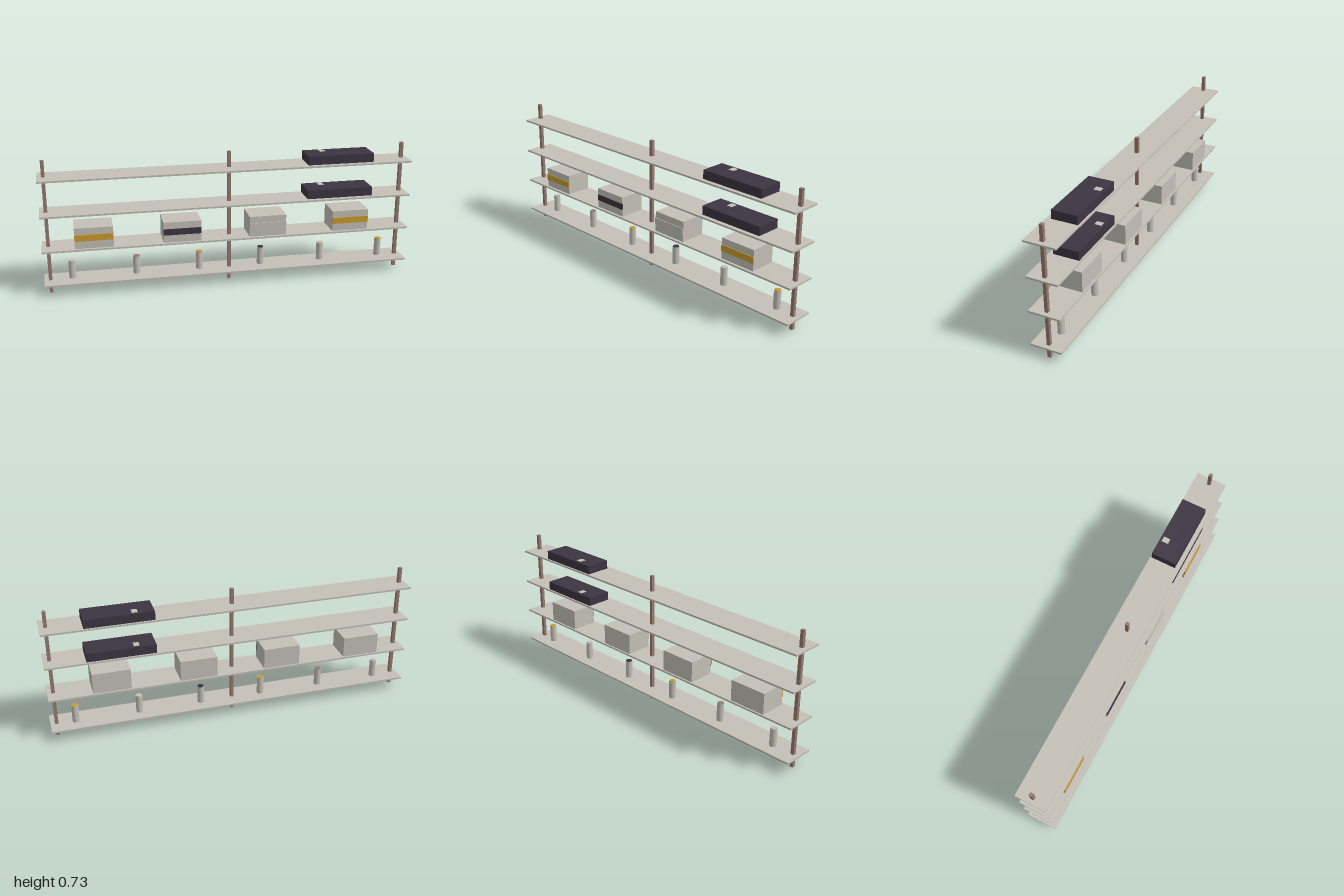
import * as THREE from 'three';

const material = (name, color) => {
  const m = new THREE.MeshStandardMaterial({ color });
  m.name = name;
  return m;
};

export function createModel() {
  const root = new THREE.Group();
  root.name = 'shelvingUnit';
  const light = material('warmGrey', 0xc4c0b7);
  const brown = material('dustyBrown', 0x967a70);
  const dark = material('darkPlum', 0x3d3542);
  const yellow = material('ochre', 0xcb9c2d);

  const add = (name, geometry, mat, x, y, z, parent = root) => {
    const mesh = new THREE.Mesh(geometry, mat);
    mesh.name = name;
    mesh.position.set(x, y, z);
    parent.add(mesh);
    return mesh;
  };
  const group = (name, x, y, z) => {
    const g = new THREE.Group();
    g.name = name;
    g.position.set(x, y, z);
    root.add(g);
    return g;
  };

  // Four long boards, given by their top heights
  const tops = [0.071, 0.261, 0.451, 0.641];
  const board = new THREE.BoxGeometry(2, 0.0095, 0.168);
  tops.forEach(y => add('shelf', board, light, 0, y - 0.00475, 0));

  // Square posts through all boards
  const post = new THREE.BoxGeometry(0.018, 0.728, 0.018);
  [-0.967, 0, 0.967].forEach(x => add('post', post, brown, x, 0.364, 0));

  // Canisters with coloured lids on the lowest board
  const can = new THREE.CylinderGeometry(0.0185, 0.0185, 0.098, 20);
  const lid = new THREE.CylinderGeometry(0.0165, 0.0165, 0.004, 20);
  [light, brown, yellow, dark, light, yellow].forEach((mat, i) => {
    const g = group('canister', -0.85 + i * 0.343, tops[0], -0.0075);
    add('canisterBody', can, light, 0, 0.049, 0, g);
    add('canisterLid', lid, mat, 0, 0.0995, 0, g);
  });

  // Storage boxes with a band across the front
  const box = new THREE.BoxGeometry(0.202, 0.113, 0.145);
  const band = new THREE.BoxGeometry(0.202, 0.034, 0.008);
  [yellow, dark, light, yellow].forEach((mat, i) => {
    const g = group('storageBox', -0.729 + i * 0.4655, tops[1], -0.003);
    add('boxBody', box, light, 0, 0.0565, 0, g);
    add('boxBand', band, mat, 0, 0.059, 0.0725, g);
  });

  // Flat dark cases with a small tag on top
  const flatCase = new THREE.BoxGeometry(0.364, 0.048, 0.137);
  const tag = new THREE.BoxGeometry(0.03, 0.004, 0.037);
  [tops[2], tops[3]].forEach(y => {
    const g = group('flatCase', 0.606, y, -0.0075);
    add('caseBody', flatCase, dark, 0, 0.024, 0, g);
    add('caseTag', tag, light, -0.081, 0.0485, -0.037, g);
  });

  return root;
}
